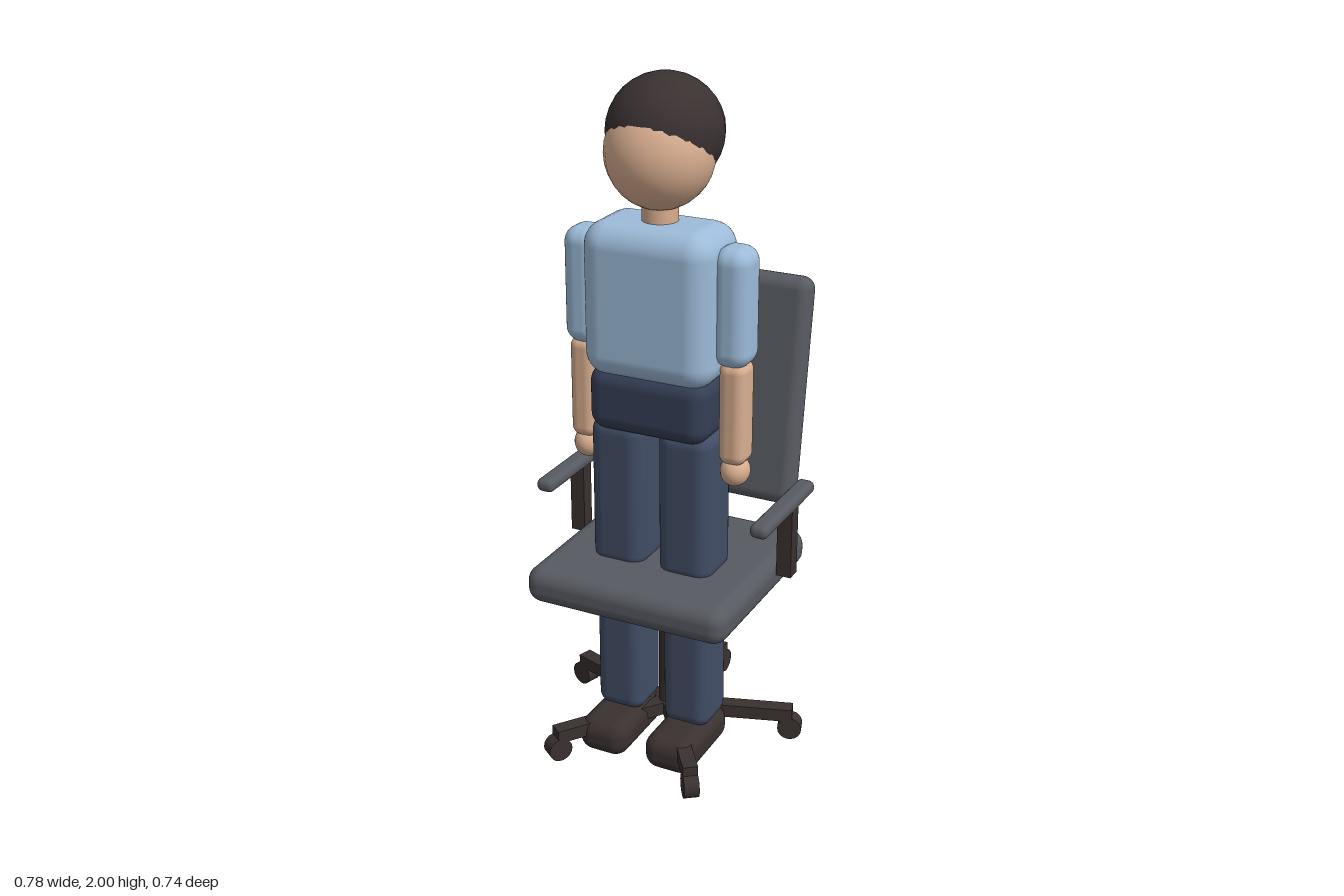
import * as THREE from 'three';
import { RoundedBoxGeometry } from 'three/addons/geometries/RoundedBoxGeometry.js';

const paint = (name, color) => {
  const m = new THREE.MeshStandardMaterial({ color });
  m.name = name;
  return m;
};

export function createModel() {
  const skin = paint('skin', 0xd9ae90);
  const hairBrown = paint('hair brown', 0x3a3131);
  const shirt = paint('shirt blue', 0x9dbbd9);
  const trousers = paint('trouser blue', 0x414d66);
  const belt = paint('hip navy', 0x353f56);
  const cushion = paint('cushion grey', 0x575a61);
  const frame = paint('frame brown', 0x3a3130);

  const model = new THREE.Group();
  model.name = 'personAndOfficeChair';
  const person = new THREE.Group();
  person.name = 'person';
  const chair = new THREE.Group();
  chair.name = 'officeChair';
  model.add(person, chair);

  const add = (parent, name, geometry, material, x, y, z) => {
    const mesh = new THREE.Mesh(geometry, material);
    mesh.name = name;
    mesh.position.set(x, y, z);
    parent.add(mesh);
    return mesh;
  };
  const soft = (w, h, d, r) => new RoundedBoxGeometry(w, h, d, 4, r);
  const ball = (rx, ry, rz) => new THREE.SphereGeometry(1, 24, 16).scale(rx, ry, rz);
  const Z = 0.078; // body centre line

  // Head, hair and trunk
  add(person, 'head', ball(0.15, 0.155, 0.15), skin, 0, 1.795, Z);
  add(person, 'hair', ball(0.16, 0.155, 0.16), hairBrown, 0, 1.845, 0.046);
  add(person, 'neck', new THREE.CylinderGeometry(0.05, 0.05, 0.12, 20), skin, 0, 1.62, Z);
  add(person, 'torso', soft(0.39, 0.44, 0.244, 0.07), shirt, 0, 1.39, Z);
  add(person, 'hips', soft(0.36, 0.19, 0.22, 0.05), belt, 0, 1.105, Z);

  // Limbs, mirrored
  for (const [side, s] of [['left', 1], ['right', -1]]) {
    add(person, side + 'UpperArm', soft(0.11, 0.335, 0.12, 0.045), shirt, s * 0.225, 1.402, Z);
    add(person, side + 'Forearm', soft(0.08, 0.3, 0.092, 0.03), skin, s * 0.23, 1.1, Z);
    add(person, side + 'Hand', ball(0.042, 0.045, 0.046), skin, s * 0.23, 0.925, Z);
    add(person, side + 'Thigh', soft(0.165, 0.46, 0.175, 0.045), trousers, s * 0.105, 0.81, Z);
    add(person, side + 'Shin', soft(0.148, 0.52, 0.155, 0.04), trousers, s * 0.108, 0.36, Z);
    add(person, side + 'Shoe', soft(0.155, 0.11, 0.285, 0.045), frame, s * 0.108, 0.06, 0.133);
  }

  // Seat and reclined backrest
  add(chair, 'seat', soft(0.625, 0.11, 0.605, 0.045), cushion, 0, 0.555, 0.032);
  const back = add(chair, 'backrest', soft(0.58, 0.68, 0.08, 0.038), cushion, 0, 1.037, -0.27);
  back.rotation.x = -0.15;

  // Armrests
  for (const [side, s] of [['left', 1], ['right', -1]]) {
    add(chair, side + 'ArmPost', new THREE.BoxGeometry(0.045, 0.22, 0.045), frame, s * 0.337, 0.675, -0.053);
    add(chair, side + 'ArmPad', soft(0.055, 0.04, 0.358, 0.018), cushion, s * 0.337, 0.79, -0.014);
  }

  // Column and five-spoke base on wheels
  add(chair, 'column', new THREE.CylinderGeometry(0.03, 0.03, 0.46, 20), frame, 0, 0.29, 0.03);
  for (let i = 0; i < 5; i++) {
    const spoke = new THREE.Group();
    spoke.name = 'baseSpoke' + (i + 1);
    spoke.position.z = 0.03;
    spoke.rotation.y = (i * Math.PI * 2) / 5;
    add(spoke, 'spokeBar', new THREE.BoxGeometry(0.044, 0.04, 0.375), frame, 0, 0.082, -0.1875);
    const wheel = new THREE.CylinderGeometry(0.036, 0.036, 0.044, 18).rotateZ(Math.PI / 2);
    add(spoke, 'wheel', wheel, frame, 0, 0.038, -0.368);
    chair.add(spoke);
  }
  return model;
}
